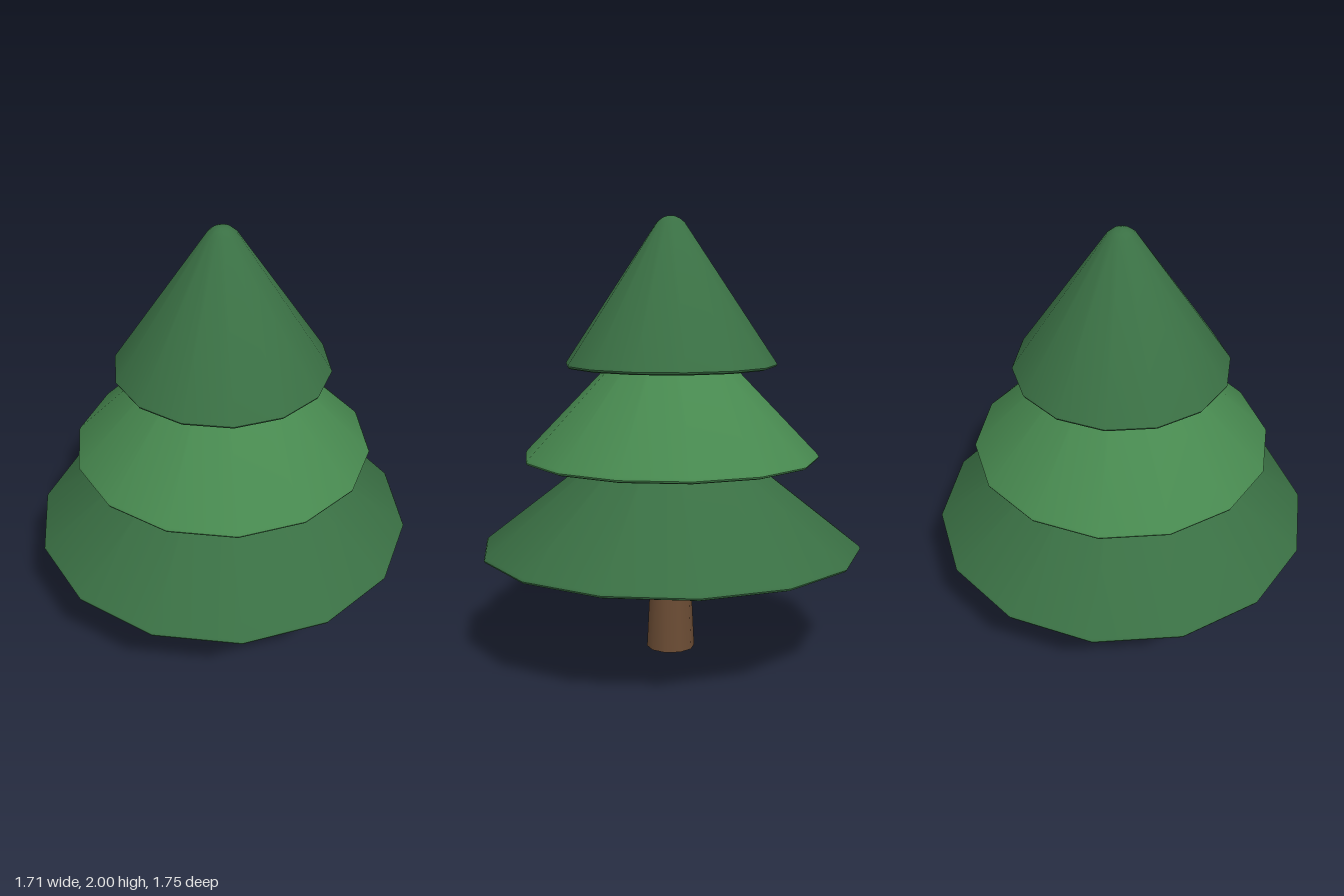
import * as THREE from 'three';
import { toCreasedNormals } from 'three/addons/utils/BufferGeometryUtils.js';

const SIDES = 14;
const darkGreen = new THREE.MeshStandardMaterial({ color: 0x3a7044 });
const lightGreen = new THREE.MeshStandardMaterial({ color: 0x488a50 });
const brown = new THREE.MeshStandardMaterial({ color: 0x6b4c34 });

// Closed cone of foliage: flat underside, softened rim, rounded tip
function foliageTier(name, material, radius, base, coneTop) {
  const [tipRadius, tipY] = coneTop;
  const profile = [
    [0, base],
    [radius - 0.018, base],
    [radius - 0.004, base + 0.005],
    [radius, base + 0.013],
    [radius - 0.006, base + 0.025],
    [tipRadius, tipY],
    [tipRadius * 0.62, tipY + 0.02],
    [tipRadius * 0.3, tipY + 0.028],
    [0, tipY + 0.03],
  ].map(([r, y]) => new THREE.Vector2(r, y));
  const geometry = toCreasedNormals(new THREE.LatheGeometry(profile, SIDES), 0.6);
  const mesh = new THREE.Mesh(geometry, material);
  mesh.name = name;
  return mesh;
}

export function createModel() {
  const tree = new THREE.Group();
  tree.name = 'pineTree';

  // Tapered trunk, its top tucked inside the lowest tier
  const trunkHeight = 0.6;
  const trunk = new THREE.Mesh(new THREE.CylinderGeometry(0.082, 0.112, trunkHeight, 10), brown);
  trunk.position.y = trunkHeight / 2;
  trunk.name = 'trunk';

  // Three overlapping tiers, steeper towards the top
  tree.add(
    trunk,
    foliageTier('lowerFoliage', darkGreen, 0.877, 0.477, [0.065, 1.13]),
    foliageTier('middleFoliage', lightGreen, 0.68, 0.902, [0.065, 1.56]),
    foliageTier('upperFoliage', darkGreen, 0.485, 1.323, [0.064, 1.97]),
  );
  return tree;
}
